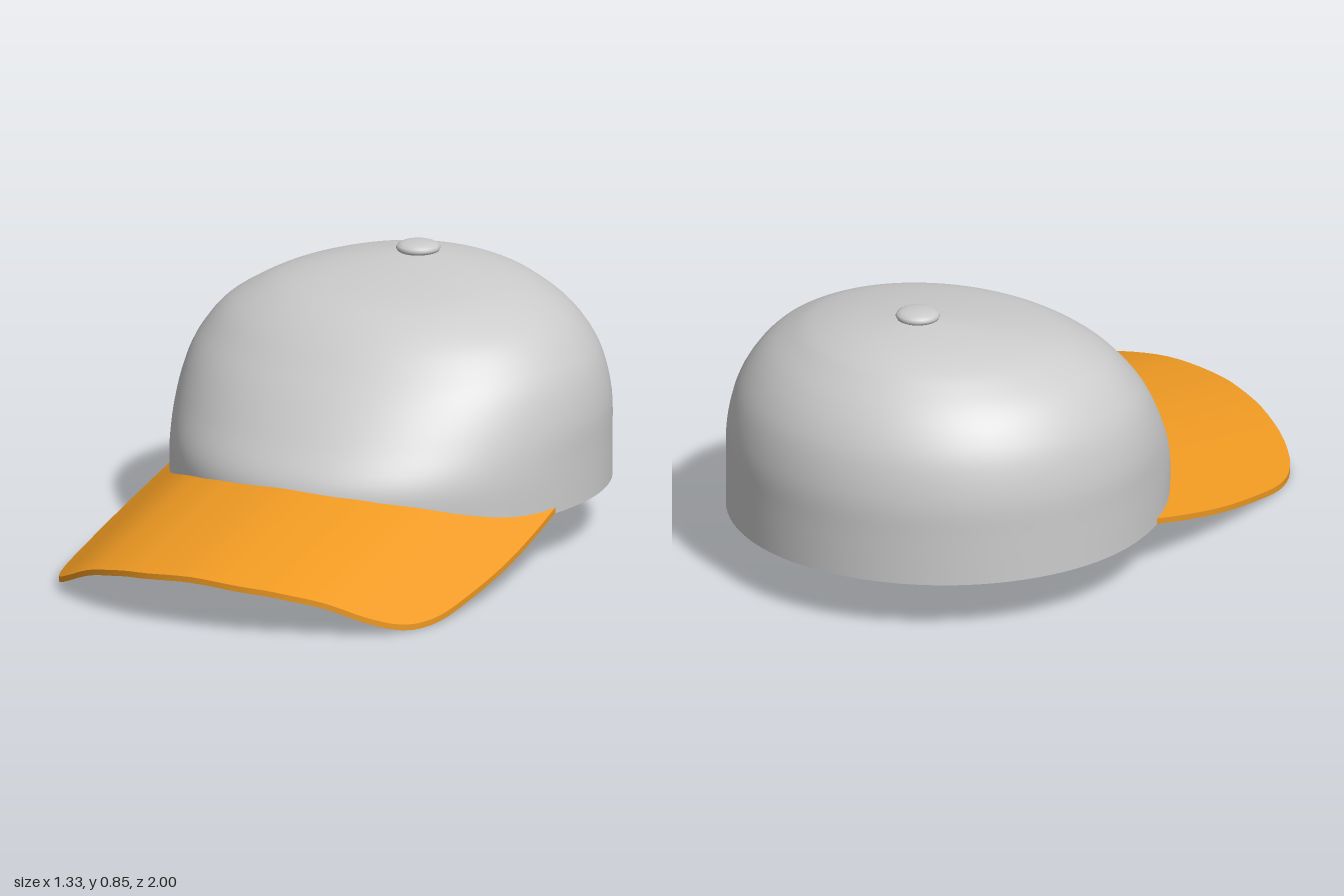
import * as THREE from 'three';
import { toCreasedNormals } from 'three/addons/utils/BufferGeometryUtils.js';

// Skin a list of rows of points; each row is a closed loop.
function skin(rows, crease) {
  const n = rows[0].length;
  const index = [];
  for (let i = 0; i < rows.length - 1; i++) {
    for (let j = 0; j < n; j++) {
      const a = i * n + j, b = i * n + (j + 1) % n;
      index.push(a, b, a + n, b, b + n, a + n);
    }
  }
  const geometry = new THREE.BufferGeometry();
  geometry.setAttribute('position', new THREE.Float32BufferAttribute(rows.flat(2), 3));
  geometry.setIndex(index);
  return toCreasedNormals(geometry, crease);
}

// Horizontal outline: round at the back, stretched towards the front.
function outline(angle, halfWidth, back, front) {
  const middle = back + halfWidth;
  const c = Math.cos(angle);
  return [halfWidth * Math.sin(angle), middle + c * (c > 0 ? front - middle : halfWidth)];
}

const BASE = 0.165;

function crownGeometry() {
  // height, half width, back z, front z
  const levels = [
    [BASE, 0.665, -1, 0.408], [0.3, 0.665, -1, 0.402], [0.42, 0.663, -0.998, 0.32],
    [0.53, 0.64, -0.975, 0.232], [0.61, 0.6, -0.938, 0.155], [0.68, 0.54, -0.885, 0.08],
    [0.735, 0.455, -0.825, 0], [0.77, 0.375, -0.775, -0.09], [0.8, 0.26, -0.7, -0.25],
    [0.82, 0.13, -0.6, -0.39], [0.832, 0, -0.5, -0.5],
  ];
  const spline = (pick) => new THREE.CatmullRomCurve3(levels.map(pick), false, 'catmullrom', 0.5);
  const backs = spline(([y, w, b]) => new THREE.Vector3(w, y, b));
  const fronts = spline(([y, w, , f]) => new THREE.Vector3(w, y, f));
  const SIDES = 96, STEPS = 50;
  const ring = (y, w, b, f) => Array.from({ length: SIDES }, (_, j) => {
    const [x, z] = outline(j / SIDES * Math.PI * 2, w, b, f);
    return [x, y, z];
  });
  // flat floor and a narrow rounded hem, then the wall up to the top
  const rows = [ring(BASE - 0.004, 0, -0.3, -0.3), ring(BASE - 0.004, 0.655, -0.99, 0.398)];
  for (let i = 0; i <= STEPS; i++) {
    const p = backs.getPoint(i / STEPS), q = fronts.getPoint(i / STEPS);
    rows.push(ring(p.y, p.x, p.z, q.z));
  }
  return skin(rows, 0.7);
}

function brimGeometry() {
  const THICK = 0.018, ROWS = 80, ACROSS = 10, END = 1.37;
  // sideways droop of the brim: x is the distance from the middle, y the drop
  const droop = new THREE.SplineCurve([
    [-0.2, 0.02], [0, 0], [0.2, 0.02], [0.3, 0.043], [0.4, 0.077],
    [0.5, 0.134], [0.6, 0.205], [0.7, 0.277],
  ].map(([x, y]) => new THREE.Vector2(x, y)));
  const table = droop.getPoints(140);
  const drop = (x) => {
    const k = Math.max(1, table.findIndex((p) => p.x >= Math.abs(x)));
    const a = table[k - 1], b = table[k];
    return a.y + (b.y - a.y) * (Math.abs(x) - a.x) / (b.x - a.x);
  };
  const height = (x, z) => 0.387 - 0.217 * z - drop(x);
  // outer edge, mirrored about the middle
  const half = [
    [0.645, -0.17], [0.655, 0], [0.66, 0.2], [0.652, 0.42], [0.635, 0.6],
    [0.592, 0.73], [0.515, 0.825], [0.42, 0.887], [0.3, 0.945], [0.16, 0.988],
  ];
  const edge = new THREE.SplineCurve([
    ...half.map(([x, z]) => new THREE.Vector2(-x, z)), new THREE.Vector2(0, 1),
    ...half.slice().reverse().map(([x, z]) => new THREE.Vector2(x, z)),
  ]);
  const rows = [];
  for (let i = 0; i <= ROWS; i++) {
    const t = i / ROWS;
    const outer = edge.getPointAt(t);
    const [ix, iz] = outline((2 * t - 1) * END, 0.652, -0.99, 0.385);
    const top = [], bottom = [];
    for (let k = 0; k <= ACROSS; k++) {
      const s = k / ACROSS;
      const x = ix + (outer.x - ix) * s, z = iz + (outer.y - iz) * s;
      const y = height(x, z);
      top.push([x, y, z]);
      bottom.unshift([x, y - THICK, z]);
    }
    rows.push([...top, ...bottom]);
  }
  return skin(rows, 0.7);
}

function buttonGeometry() {
  const profile = [[0, 0.857], [0.03, 0.856], [0.052, 0.852], [0.064, 0.845], [0.068, 0.837], [0.064, 0.829], [0.05, 0.822]];
  const points = profile.reverse().map(([r, y]) => new THREE.Vector2(r, y));
  return new THREE.LatheGeometry(points, 40);
}

export function createModel() {
  const grey = new THREE.MeshStandardMaterial({ color: 0xcccccc });
  const orange = new THREE.MeshStandardMaterial({ color: 0xee9922, side: THREE.DoubleSide });
  const model = new THREE.Group();
  model.name = 'cap';
  const add = (name, geometry, material) => {
    const mesh = new THREE.Mesh(geometry, material);
    mesh.name = name;
    model.add(mesh);
    return mesh;
  };
  add('crown', crownGeometry(), grey);
  add('brim', brimGeometry(), orange);
  add('topButton', buttonGeometry(), grey).position.z = -0.495;
  return model;
}
